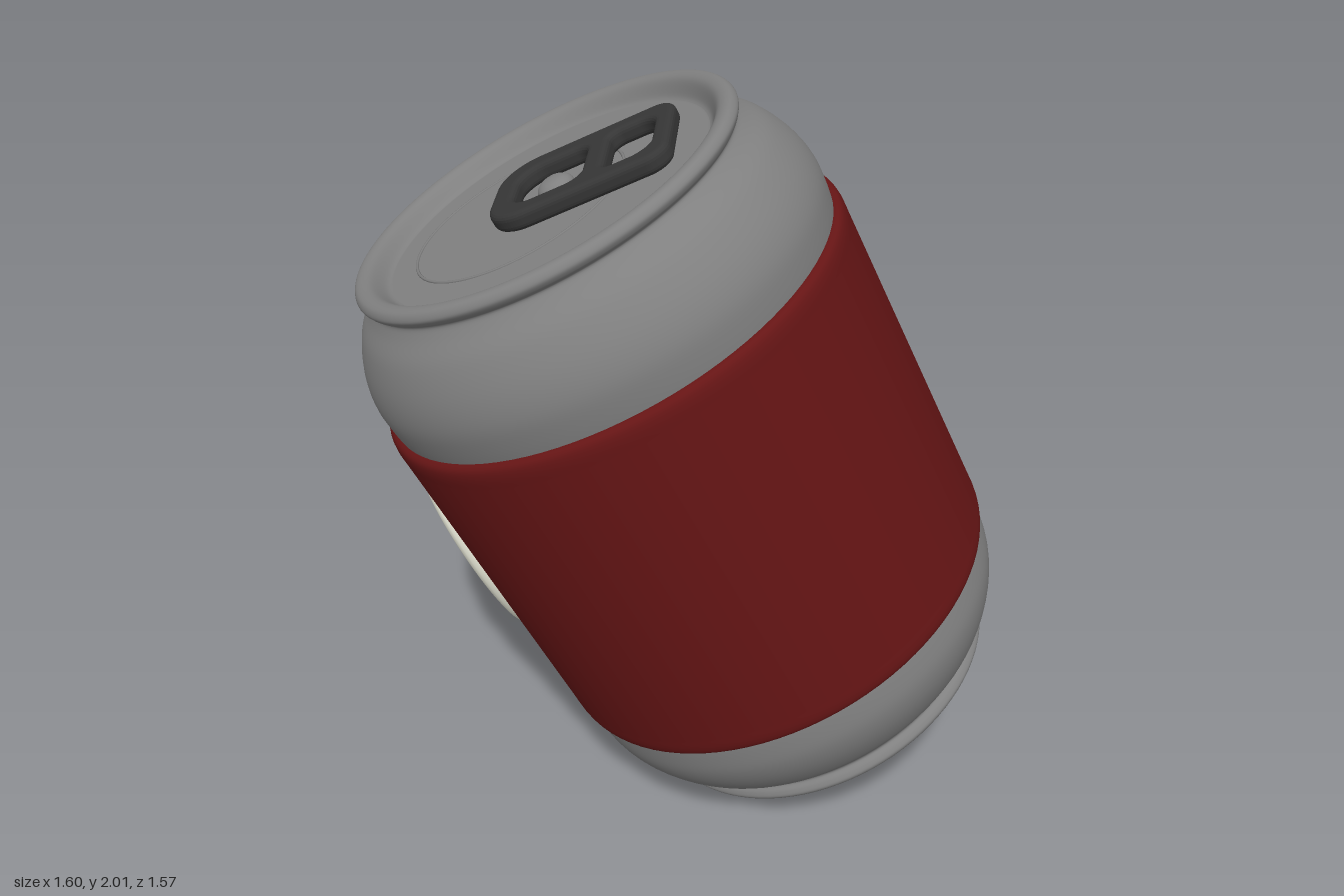
import * as THREE from 'three';
import { mergeVertices } from 'three/addons/utils/BufferGeometryUtils.js';

const SEG = 96;
const material = (color) => new THREE.MeshStandardMaterial({ color });
const metal = material(0x808080);
const dark = material(0x363636);

function addMesh(parent, name, geometry, mat) {
  const mesh = new THREE.Mesh(geometry, mat);
  mesh.name = name;
  parent.add(mesh);
  return mesh;
}

const lathe = (points, segments = SEG) =>
  new THREE.LatheGeometry(points.map(([r, y]) => new THREE.Vector2(r, y)), segments);

// Smooth curve through [radius, height] points
function smooth(points, count) {
  const curve = new THREE.SplineCurve(points.map(([r, y]) => new THREE.Vector2(r, y)));
  return curve.getPoints(count).map((p) => [p.x, p.y]);
}

// Rounded rectangle; r0 rounds the low-x corners, r1 the high-x corners
function roundedRect(target, x0, x1, h, r0, r1) {
  target.moveTo(x0 + r0, -h);
  target.lineTo(x1 - r1, -h);
  target.absarc(x1 - r1, -h + r1, r1, -Math.PI / 2, 0, false);
  target.absarc(x1 - r1, h - r1, r1, 0, Math.PI / 2, false);
  target.absarc(x0 + r0, h - r0, r0, Math.PI / 2, Math.PI, false);
  target.absarc(x0 + r0, -h + r0, r0, Math.PI, Math.PI * 1.5, false);
  target.closePath();
  return target;
}

// Shell: half profile from the waist up to the rim and recessed end, mirrored below
function shellGeometry() {
  const shoulder = smooth([
    [0.622, 0.47], [0.63, 0.54], [0.63, 0.61], [0.61, 0.68], [0.57, 0.75],
    [0.525, 0.795], [0.508, 0.818], [0.52, 0.832], [0.526, 0.848],
    [0.515, 0.864], [0.495, 0.867], [0.475, 0.858], [0.452, 0.828], [0.44, 0.82],
  ], 64);
  const upper = [...shoulder, [0.436, 0.82], [0.42, 0.82], [0, 0.82]];
  const lower = upper.map(([r, y]) => [r, -y]).reverse();
  return lathe([...lower, ...upper]);
}

// Label sleeve with rolled edges
function labelGeometry() {
  const edge = smooth([[0.65, 0.45], [0.65, 0.48], [0.645, 0.503], [0.632, 0.513], [0.615, 0.512]], 14);
  const lower = edge.map(([r, y]) => [r, -y]).reverse();
  return lathe([...lower, [0.65, -0.2], [0.65, 0], [0.65, 0.2], ...edge]);
}

// Oval plate: a rounded disc bent around the can wall
function badgeGeometry() {
  const geo = lathe([
    [1, 0], [1, 0.022], [0.985, 0.034], [0.95, 0.043], [0.9, 0.047],
    [0.75, 0.048], [0.5, 0.048], [0.25, 0.048], [0, 0.048],
  ], 64);
  const pos = geo.attributes.position;
  for (let i = 0; i < pos.count; i++) {
    const angle = pos.getX(i) * 0.37;
    const r = 0.641 + pos.getY(i);
    pos.setXYZ(i, -r * Math.cos(angle), pos.getZ(i) * 0.355, -r * Math.sin(angle));
  }
  geo.deleteAttribute('uv');
  geo.deleteAttribute('normal');
  const merged = mergeVertices(geo, 1e-5);
  merged.computeVertexNormals();
  return merged;
}

// Pull tab with a rivet opening and a finger opening
function tabGeometry() {
  const shape = roundedRect(new THREE.Shape(), -0.125, 0.365, 0.162, 0.11, 0.06);
  shape.holes.push(
    roundedRect(new THREE.Path(), -0.06, 0.13, 0.095, 0.065, 0.04),
    roundedRect(new THREE.Path(), 0.19, 0.315, 0.1, 0.03, 0.05),
  );
  const geo = new THREE.ExtrudeGeometry(shape, {
    depth: 0.016, curveSegments: 10,
    bevelEnabled: true, bevelThickness: 0.016, bevelSize: 0.016, bevelOffset: -0.016, bevelSegments: 4,
  });
  return geo.rotateX(-Math.PI / 2);
}

export function createModel() {
  const model = new THREE.Group();
  model.name = 'drinkCan';

  // Upright can, later tilted as a whole
  const can = new THREE.Group();
  can.name = 'can';
  addMesh(can, 'shell', shellGeometry(), metal);
  addMesh(can, 'label', labelGeometry(), material(0x661515));
  addMesh(can, 'badge', badgeGeometry(), material(0xe4e4d4));

  // Score line of the mouth opening
  const score = addMesh(can, 'scoreLine', new THREE.TorusGeometry(0.29, 0.004, 6, SEG), metal);
  score.rotation.x = Math.PI / 2;
  score.position.set(-0.08, 0.82, 0);

  // Rivet with a domed head
  const rivet = addMesh(can, 'rivet', lathe(smooth([
    [0.05, 0], [0.05, 0.02], [0.044, 0.037], [0.026, 0.049], [0, 0.053],
  ], 16), 32), metal);
  rivet.position.set(0.035, 0.815, 0);

  const tab = addMesh(can, 'pullTab', tabGeometry(), dark);
  tab.position.y = 0.846;

  // Tilt: can axis and tab direction define the orientation
  const axis = new THREE.Vector3(-0.333, 0.896, 0.293).normalize();
  const along = new THREE.Vector3(0.84, 0.42, -0.338);
  along.addScaledVector(axis, -along.dot(axis)).normalize();
  const side = new THREE.Vector3().crossVectors(along, axis);
  can.quaternion.setFromRotationMatrix(new THREE.Matrix4().makeBasis(along, axis, side));
  can.position.y = 1;

  model.add(can);
  return model;
}
